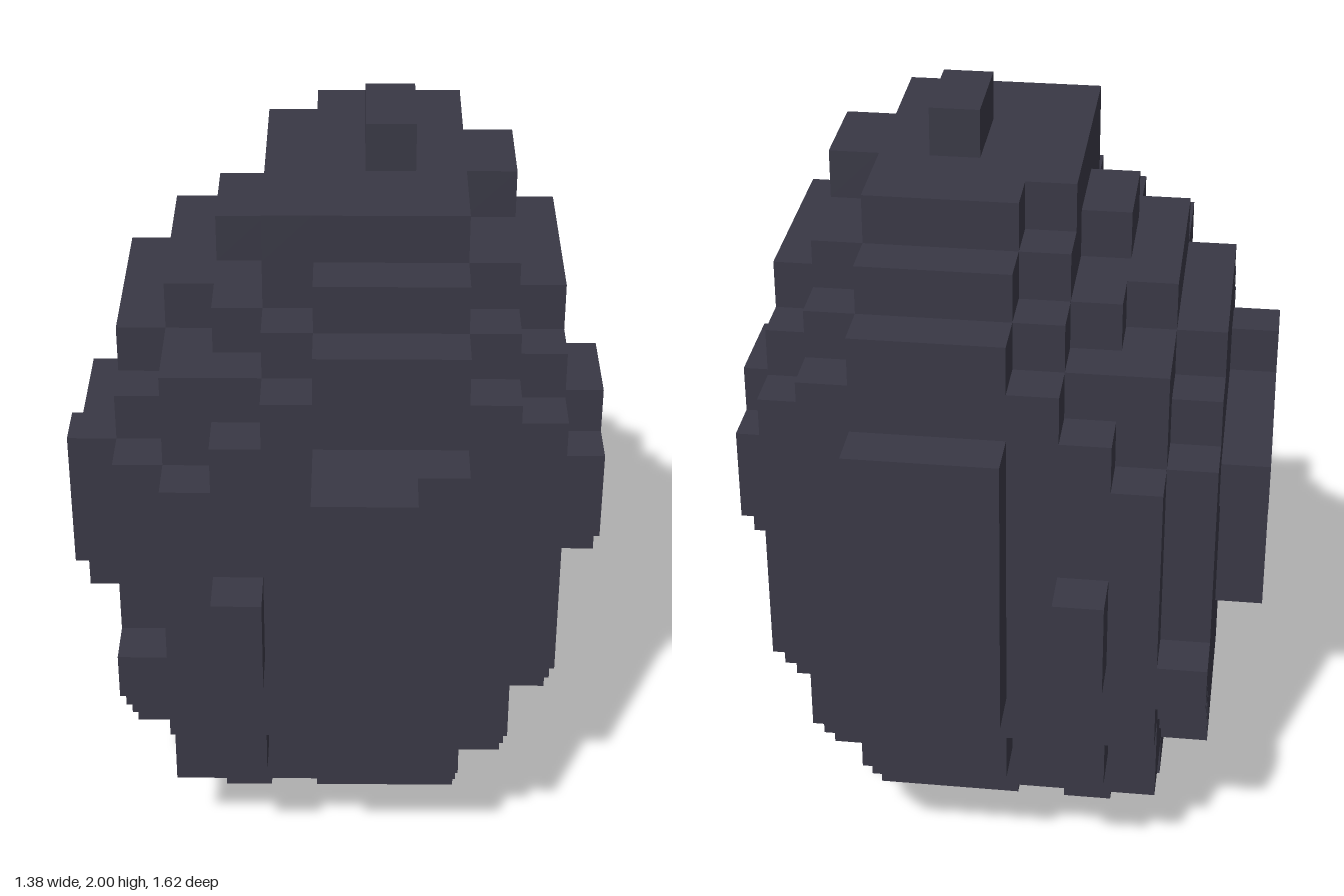
import * as THREE from 'three';

const S = 0.125;               // block size
const NX = 11, NY = 16, NZ = 13;

// Rounded lobes: centre and radii in blocks
const lobes = [
  { name: 'mainLobe', c: [6, 7.5, 5.5], r: [4.17, 7.62, 6.03] },
  { name: 'sideLobe', c: [3, 6.5, 5.5], r: [3.108, 6.537, 5.573] },
];

// Raised plates and knobs: first and last block on each axis
const bumps = [
  { name: 'frontPlate', a: [5, 8, 12], b: [6, 10, 12] },
  { name: 'topPlate', a: [4, 14, 4], b: [4, 14, 8] },
  { name: 'sidePlate', a: [0, 7, 8], b: [0, 9, 8] },
  { name: 'sidePlateLink', a: [0, 7, 7], b: [0, 8, 7] },
  { name: 'sideKnob', a: [0, 8, 4], b: [0, 8, 4] },
  { name: 'frontCornerKnob', a: [1, 5, 10], b: [1, 5, 10] },
  { name: 'backCornerKnob', a: [1, 5, 1], b: [1, 5, 1] },
];

const inLobe = (l, p) =>
  p.reduce((sum, v, n) => sum + ((v - l.c[n]) / l.r[n]) ** 2, 0) <= 1;
const inBump = (m, p) => p.every((v, n) => v >= m.a[n] && v <= m.b[n]);

// Each block belongs to the first part that contains it
const parts = [
  ...lobes.map((l) => ({ name: l.name, has: (p) => inLobe(l, p) })),
  ...bumps.map((m) => ({ name: m.name, has: (p) => inBump(m, p) })),
];
const owner = (p) => parts.findIndex((part) => part.has(p));

// Adds the outward square on one side of a block
function addFace(pos, nor, p, axis, sign) {
  const u = (axis + 1) % 3, v = (axis + 2) % 3;
  const corner = (su, sv) => {
    const q = [p[0] - 5, p[1] + 0.5, p[2] - 6];
    q[axis] += sign / 2;
    q[u] += su / 2;
    q[v] += sv / 2;
    return q.map((w) => w * S);
  };
  const c = [corner(-1, -1), corner(1, -1), corner(1, 1), corner(-1, 1)];
  if (sign < 0) c.reverse();
  const n = [0, 0, 0];
  n[axis] = sign;
  for (const i of [0, 1, 2, 0, 2, 3]) {
    pos.push(...c[i]);
    nor.push(...n);
  }
}

export function createModel() {
  const group = new THREE.Group();
  group.name = 'blockyEgg';
  const charcoal = new THREE.MeshStandardMaterial({ color: 0x393845 });
  charcoal.name = 'charcoal';

  // Collect only the exposed faces of every part
  const data = parts.map(() => ({ pos: [], nor: [] }));
  for (let i = 0; i < NX; i++)
    for (let j = 0; j < NY; j++)
      for (let k = 0; k < NZ; k++) {
        const p = [i, j, k];
        const id = owner(p);
        if (id < 0) continue;
        for (let axis = 0; axis < 3; axis++)
          for (const sign of [-1, 1]) {
            const next = [...p];
            next[axis] += sign;
            if (owner(next) < 0) addFace(data[id].pos, data[id].nor, p, axis, sign);
          }
      }

  parts.forEach((part, id) => {
    if (!data[id].pos.length) return;
    const geo = new THREE.BufferGeometry();
    geo.setAttribute('position', new THREE.Float32BufferAttribute(data[id].pos, 3));
    geo.setAttribute('normal', new THREE.Float32BufferAttribute(data[id].nor, 3));
    const mesh = new THREE.Mesh(geo, charcoal);
    mesh.name = part.name;
    group.add(mesh);
  });
  return group;
}
